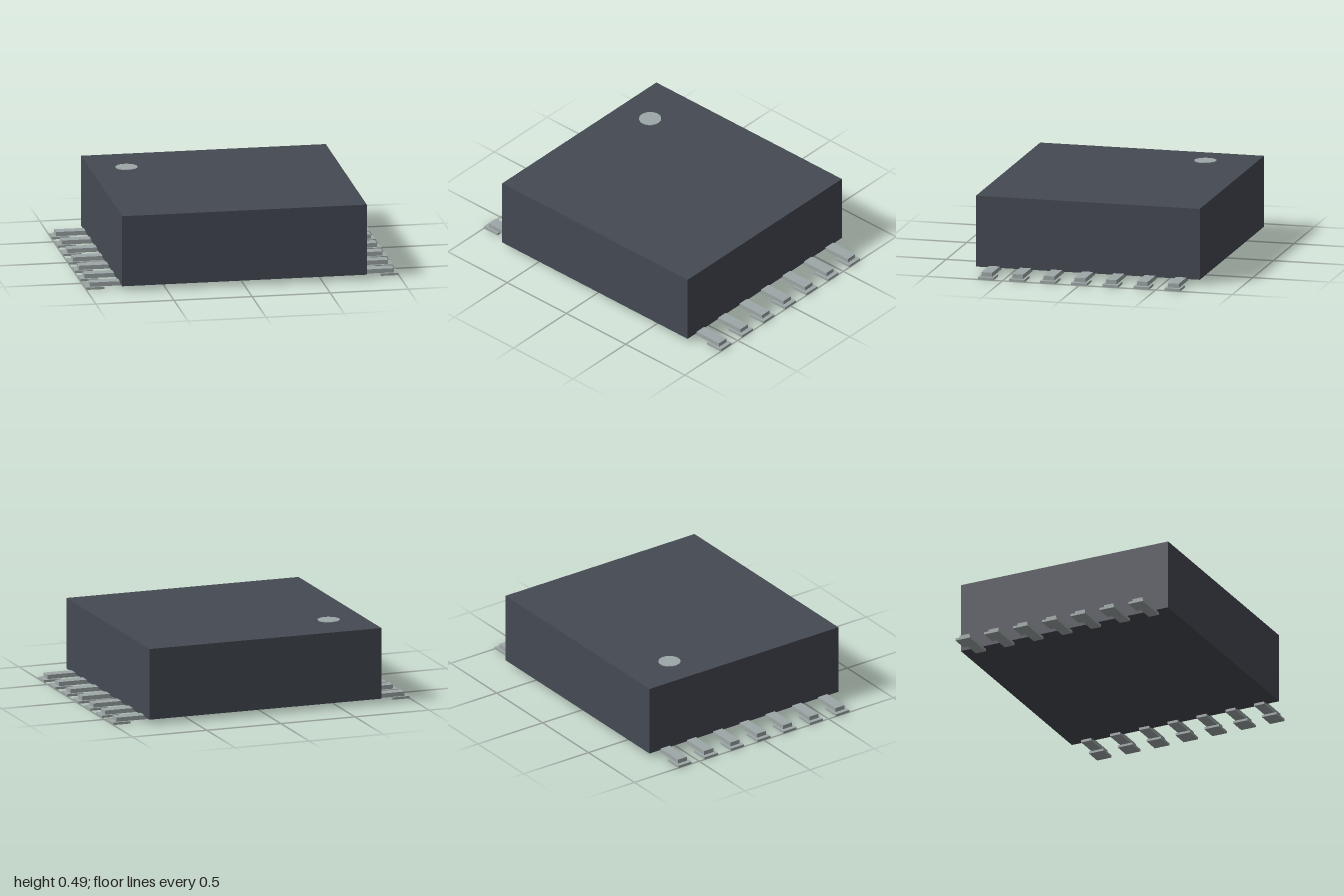
import * as THREE from 'three';

export function createModel() {
  const group = new THREE.Group();
  const plastic = new THREE.MeshStandardMaterial({ color: 0x454a53 });
  plastic.name = 'dark plastic';
  const metal = new THREE.MeshStandardMaterial({ color: 0x9ea7a7 });
  metal.name = 'grey metal';

  const add = (name, geometry, material, x, y, z) => {
    const mesh = new THREE.Mesh(geometry, material);
    mesh.name = name;
    mesh.position.set(x, y, z);
    group.add(mesh);
  };

  // Package body, raised slightly above the board
  add('body', new THREE.BoxGeometry(1.566, 0.458, 1.46), plastic, 0, 0.261, 0);

  // Seven pins per side: an arm tucked under the body and a wider foot
  const arm = new THREE.BoxGeometry(0.23, 0.027, 0.07);
  const foot = new THREE.BoxGeometry(0.115, 0.015, 0.102);
  for (const side of [-1, 1]) {
    for (let i = -3; i <= 3; i++) {
      const z = i * 0.203;
      add('pinArm', arm, metal, side * 0.857, 0.0285, z);
      add('pinFoot', foot, metal, side * 0.9425, 0.0075, z);
    }
  }

  // Orientation dot in the back corner of the top face
  add('orientationDot', new THREE.CylinderGeometry(0.07, 0.07, 0.006, 32), metal, -0.55, 0.491, -0.41);

  return group;
}
